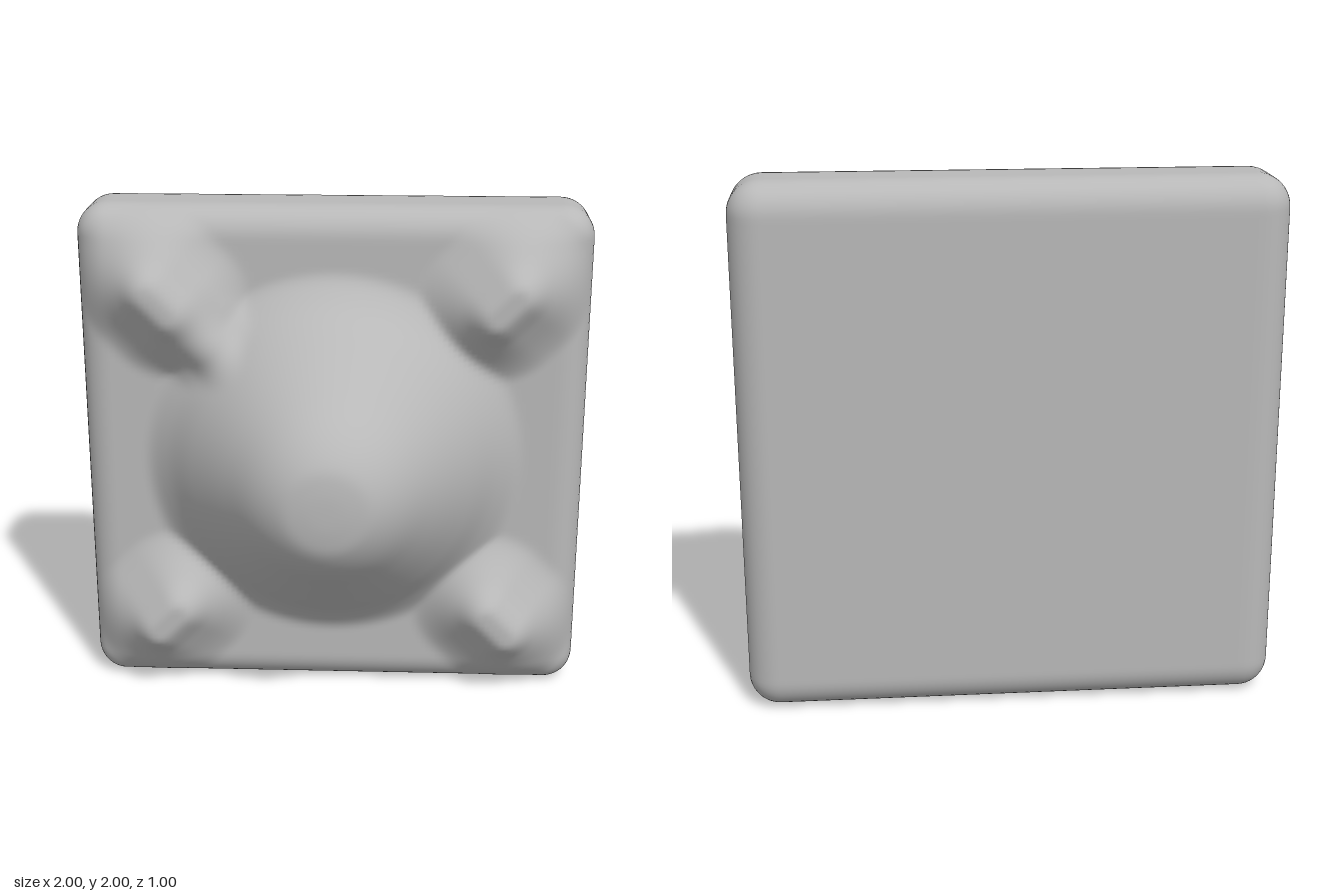
import * as THREE from 'three';
import { mergeVertices } from 'three/addons/utils/BufferGeometryUtils.js';

const BACK = -0.5, FRONT = -0.11, ROUND = 0.12;

// Profiles: [distance, height above the slab face]
const DOME = [[0, 0.61], [0.1, 0.605], [0.18, 0.585], [0.28, 0.51], [0.4, 0.37], [0.55, 0.19], [0.66, 0.06], [0.76, 0]];
const KNOB = [[0, 0.185], [0.05, 0.178], [0.13, 0.105], [0.24, 0.025], [0.31, 0]];
const RIDGE = [[0, 0.155], [0.06, 0.135], [0.14, 0.06], [0.24, 0]];

// Smooth height along a profile (cubic Hermite)
function along(profile, d) {
  const n = profile.length - 1;
  if (d >= profile[n][0]) return 0;
  let i = 0;
  while (d > profile[i + 1][0]) i++;
  const slope = (k) => (k === 0 || k === n) ? 0
    : (profile[k + 1][1] - profile[k - 1][1]) / (profile[k + 1][0] - profile[k - 1][0]);
  const [a, ha] = profile[i], [b, hb] = profile[i + 1];
  const w = b - a, t = (d - a) / w, t2 = t * t, t3 = t2 * t;
  return (2 * t3 - 3 * t2 + 1) * ha + (t3 - 2 * t2 + t) * w * slope(i)
    + (3 * t2 - 2 * t3) * hb + (t3 - t2) * w * slope(i + 1);
}

// Distance from a point to a segment
function toSegment(x, y, ax, ay, bx, by) {
  const dx = bx - ax, dy = by - ay;
  const t = THREE.MathUtils.clamp(((x - ax) * dx + (y - ay) * dy) / (dx * dx + dy * dy), 0, 1);
  return Math.hypot(x - ax - t * dx, y - ay - t * dy);
}

// Soft maximum, so forms flow into each other
function blend(a, b, k) {
  const h = Math.max(k - Math.abs(a - b), 0) / k;
  return Math.max(a, b) + (Math.min(a, b) > 0 ? h * h * k * 0.25 * Math.min(1, Math.min(a, b) / 0.05) : 0);
}

// Central dome, four corner knobs and one ridge
function relief(x, y) {
  let h = along(DOME, Math.hypot(x, y));
  for (const sx of [-1, 1]) for (const sy of [-1, 1]) {
    const knob = along(KNOB, toSegment(x, y, sx * 0.62, sy * 0.62, sx * 0.7, sy * 0.7));
    h = blend(h, knob, 0.04);
  }
  return blend(h, along(RIDGE, toSegment(x, y, -0.68, 0.68, -0.36, 0.36)), 0.08);
}

// Rounded slab whose front face is raised by the relief
function slabGeometry() {
  const depth = FRONT - BACK;
  const box = new THREE.BoxGeometry(2, 2, depth, 100, 100, 16);
  box.deleteAttribute('uv');
  box.deleteAttribute('normal');
  const geometry = mergeVertices(box);
  const pos = geometry.attributes.position;
  const p = new THREE.Vector3(), core = new THREE.Vector3();
  const limit = new THREE.Vector3(1 - ROUND, 1 - ROUND, depth / 2 - ROUND);
  for (let i = 0; i < pos.count; i++) {
    p.fromBufferAttribute(pos, i);
    core.copy(p).clamp(limit.clone().negate(), limit);
    p.sub(core).setLength(ROUND).add(core);
    const front = THREE.MathUtils.smoothstep(p.z, depth / 2 - ROUND, depth / 2 - 0.02);
    p.z += front * relief(p.x, p.y) + (FRONT + BACK) / 2;
    pos.setXYZ(i, p.x, p.y + 1, p.z);
  }
  geometry.computeVertexNormals();
  return geometry;
}

export function createModel() {
  const grey = new THREE.MeshStandardMaterial({ color: 0xb8b8b8 });
  grey.name = 'grey';
  const group = new THREE.Group();
  group.name = 'domedPanel';
  const panel = new THREE.Mesh(slabGeometry(), grey);
  panel.name = 'panel';
  group.add(panel);
  return group;
}
